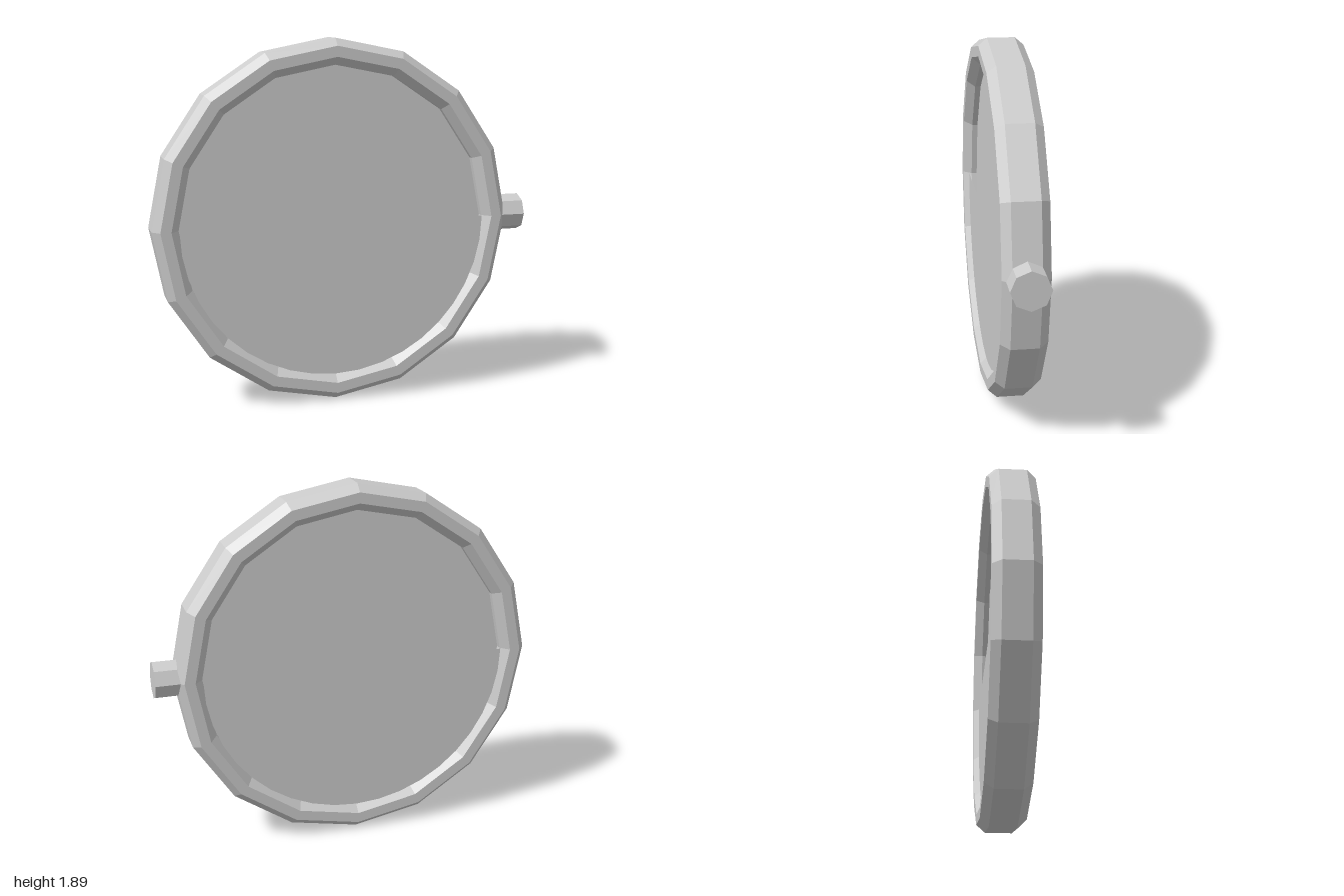
import * as THREE from 'three';

const CENTER_X = -0.05, CENTER_Y = 0.95;

// Separate the faces so every facet gets its own flat normal
function faceted(geometry) {
  const flat = geometry.toNonIndexed();
  flat.computeVertexNormals();
  return flat;
}

export function createModel() {
  const model = new THREE.Group();
  const gray = new THREE.MeshStandardMaterial({ color: 0xcccccc });
  gray.name = 'plain gray';

  const add = (parent, name, geometry) => {
    const mesh = new THREE.Mesh(geometry, gray);
    mesh.name = name;
    parent.add(mesh);
    return mesh;
  };

  const dial = new THREE.Group();
  dial.name = 'dial';
  dial.position.set(CENTER_X, CENTER_Y, 0);
  model.add(dial);

  // Sixteen-sided rim with a bevelled, eight-sided cross-section
  const profile = [
    [0.947, -0.07], [0.947, 0.07], [0.908, 0.115], [0.853, 0.115],
    [0.812, 0.07], [0.812, -0.07], [0.853, -0.115], [0.908, -0.115], [0.947, -0.07],
  ].map(([r, h]) => new THREE.Vector2(r, h));
  add(dial, 'rim', faceted(new THREE.LatheGeometry(profile, 16).rotateX(Math.PI / 2)));

  // Recessed panel filling the rim
  add(dial, 'panel', faceted(new THREE.CylinderGeometry(0.82, 0.82, 0.08, 16).rotateX(Math.PI / 2)));

  // Eight-sided knob on the left side
  const knob = add(dial, 'knob', faceted(new THREE.CylinderGeometry(0.097, 0.097, 0.17, 8).rotateZ(-Math.PI / 2)));
  knob.position.x = 0.965;

  // Lower half disc and sun emblem on both faces
  for (const side of [1, -1]) {
    const face = new THREE.Group();
    face.name = side > 0 ? 'frontFace' : 'backFace';
    face.rotation.y = side > 0 ? 0 : Math.PI;
    dial.add(face);

    const half = add(face, 'lowerHalfDisc', new THREE.CircleGeometry(0.81, 20, Math.PI, Math.PI));
    half.position.z = 0.085;

    const sun = new THREE.Group();
    sun.name = 'sun';
    sun.position.set(side * 0.275, 0.42, 0.05);
    face.add(sun);
    add(sun, 'sunDisc', new THREE.CircleGeometry(0.112, 32));

    const ray = new THREE.ShapeGeometry(new THREE.Shape([
      new THREE.Vector2(-0.02, 0.125), new THREE.Vector2(0.02, 0.125), new THREE.Vector2(0, 0.173),
    ]));
    for (let i = 0; i < 8; i++) add(sun, 'sunRay', ray).rotation.z = i * Math.PI / 4;
  }

  return model;
}
